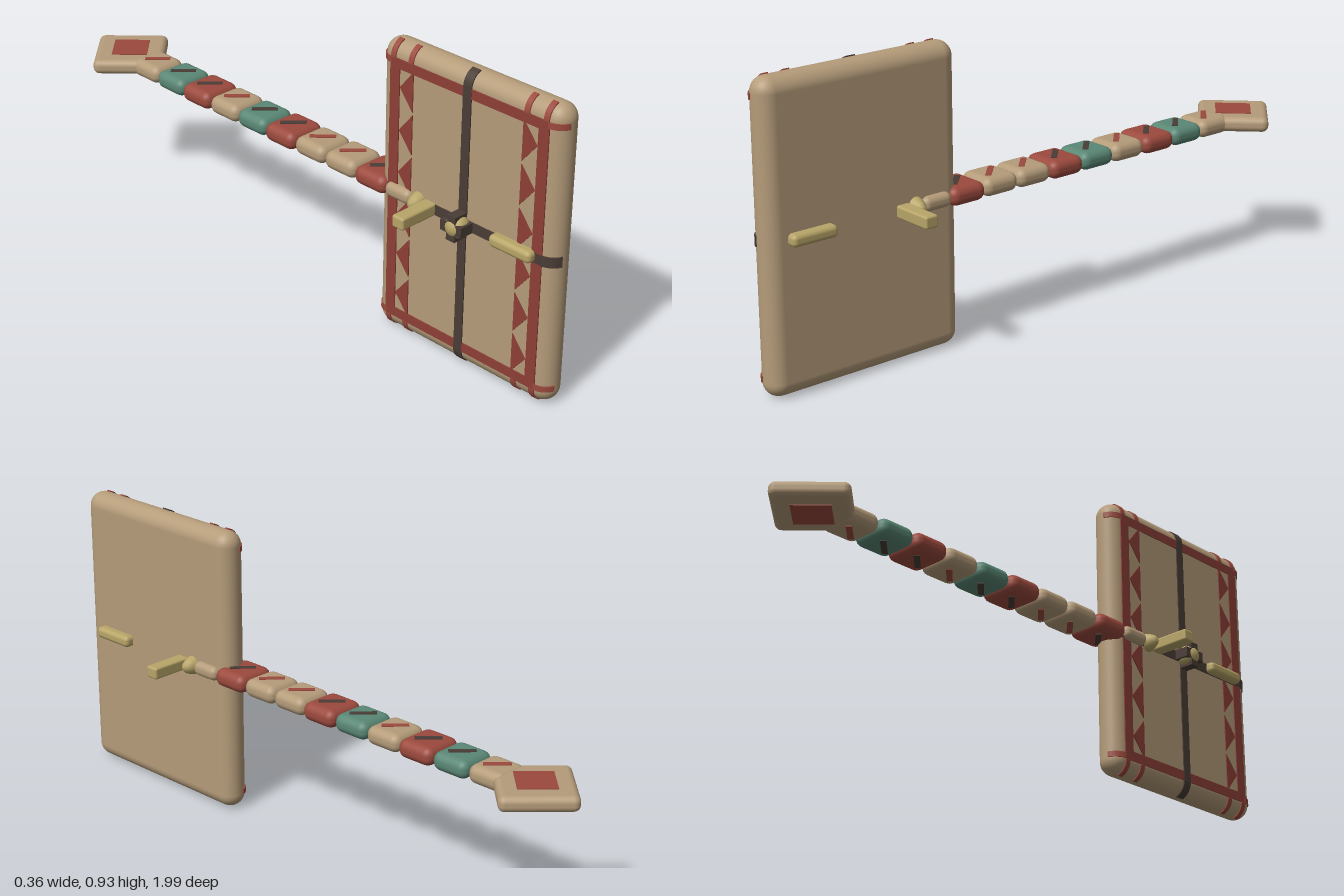
import * as THREE from 'three';
import { RoundedBoxGeometry } from 'three/addons/geometries/RoundedBoxGeometry.js';

const mat = (name, color) => {
  const m = new THREE.MeshStandardMaterial({ color });
  m.name = name;
  return m;
};

export function createModel() {
  const tan = mat('tan', 0xb59c7a), red = mat('brick red', 0x9c4a3e), green = mat('sea green', 0x5a8775);
  const gold = mat('brass', 0xb8a568), dark = mat('dark brown', 0x4a3d36), paint = mat('border red', 0x8e3f37);
  const model = new THREE.Group();
  model.name = 'shieldWithSegmentedTail';

  const add = (name, geo, material, x = 0, y = 0, z = 0, ry = 0) => {
    const m = new THREE.Mesh(geo, material);
    m.name = name;
    m.position.set(x, y, z);
    m.rotation.y = ry;
    model.add(m);
    return m;
  };
  const round = (w, h, d, r) => new RoundedBoxGeometry(w, h, d, 3, r);
  const box = (w, h, d) => new THREE.BoxGeometry(w, h, d);

  // Main panel
  const CY = 0.471, CZ = 0.66, H = 0.924, D = 0.66, R = 0.046;
  add('panel', new RoundedBoxGeometry(0.092, H, D, 5, R), tan, 0, CY, CZ);

  // Painted border bands and crossing straps on the right face
  const faceX = -0.0465;
  const band = (name, material, y, z, h, d) => add(name, box(0.005, h, d), material, faceX, y, z);
  for (const s of [-1, 1]) {
    band('sideBorder', paint, CY, CZ + s * 0.27, 0.832, 0.036);
    band('endBorder', paint, CY + s * 0.402, CZ, 0.03, 0.57);
  }
  band('verticalStrap', dark, CY, CZ, 0.834, 0.03).scale.x = 1.3;
  band('horizontalStrap', dark, CY, CZ, 0.032, 0.57).scale.x = 1.3;

  // Triangles along both side borders, points toward the border
  for (const s of [-1, 1]) {
    const t = new THREE.Shape();
    t.moveTo(s * 0.25, 0);
    t.lineTo(s * 0.2, 0.062);
    t.lineTo(s * 0.2, -0.062);
    t.closePath();
    const geo = new THREE.ExtrudeGeometry(t, { depth: 0.003, bevelEnabled: false });
    geo.rotateY(-Math.PI / 2);
    for (let i = -2.5; i <= 2.5; i++) add('borderTriangle', geo, paint, -0.046, CY + i * 0.133, CZ);
  }

  // Bands folding over the rounded rim; turn picks top, front, bottom or rear
  const wrap = (name, material, width, turn, y, z) => {
    const s = new THREE.Shape();
    const a = THREE.MathUtils.degToRad(105);
    s.absarc(0, 0, 0.0495, a, Math.PI, false);
    s.absarc(0, 0, 0.043, Math.PI, a, true);
    const geo = new THREE.ExtrudeGeometry(s, { depth: width, bevelEnabled: false, curveSegments: 8 });
    geo.translate(0, 0, -width / 2);
    geo.rotateX(turn);
    add(name, geo, material, 0, y, z);
  };
  for (const s of [-1, 1]) {
    const endTurn = s > 0 ? 0 : Math.PI, sideTurn = s * Math.PI / 2;
    const endY = CY + s * (H / 2 - R), sideZ = CZ + s * (D / 2 - R);
    for (const dz of [-0.277, -0.21, 0.21, 0.277]) wrap('borderFold', red, 0.018, endTurn, endY, CZ + dz);
    for (const dy of [-0.407, 0.407]) wrap('borderFold', red, 0.018, sideTurn, CY + dy, sideZ);
    wrap('strapFold', dark, 0.03, endTurn, endY, CZ);
    wrap('strapFold', dark, 0.032, sideTurn, CY, sideZ);
  }

  // Boss where the straps cross
  add('boss', new THREE.SphereGeometry(0.036, 16, 12), gold, -0.069, CY, CZ);
  add('bossStrap', box(0.05, 0.078, 0.032), dark, -0.072, CY, CZ);
  add('bossStrap', box(0.05, 0.032, 0.078), dark, -0.072, CY, CZ);

  // Brass grip through the panel, crossguard and collar
  add('grip', round(0.15, 0.037, 0.15, 0.014), gold, 0, 0.474, 0.85);
  add('crossguard', round(0.36, 0.038, 0.044, 0.007), gold, 0, 0.471, 0.535);
  const collar = add('collar', new THREE.SphereGeometry(1, 18, 12), gold, 0, 0.472, 0.49);
  collar.scale.set(0.088, 0.036, 0.032);
  add('neck', round(0.135, 0.046, 0.1, 0.02), tan, 0, 0.473, 0.42);

  // Tail segments, each with a slanted slash above and below
  const TY = 0.472;
  const colors = [red, tan, tan, red, green, tan, red, green, tan];
  colors.forEach((c, i) => {
    const z = 0.308 - i * 0.1275;
    const w = c === red ? 0.138 : i === 8 ? 0.122 : 0.13;
    add('tailSegment', round(w, 0.058, 0.126, 0.026), c, 0, TY, z);
    for (const s of [-1, 1])
      add('segmentSlash', box(0.08, 0.005, 0.018), c === tan ? red : dark, 0, TY + s * 0.029, z, -Math.PI / 4);
  });

  // Diamond tip with inlays
  add('diamondTip', round(0.226, 0.048, 0.226, 0.02), tan, 0, TY, -0.848, Math.PI / 4);
  for (const s of [-1, 1])
    add('tipInlay', box(0.114, 0.004, 0.114), red, 0, TY + s * 0.0245, -0.848, Math.PI / 4);

  return model;
}
